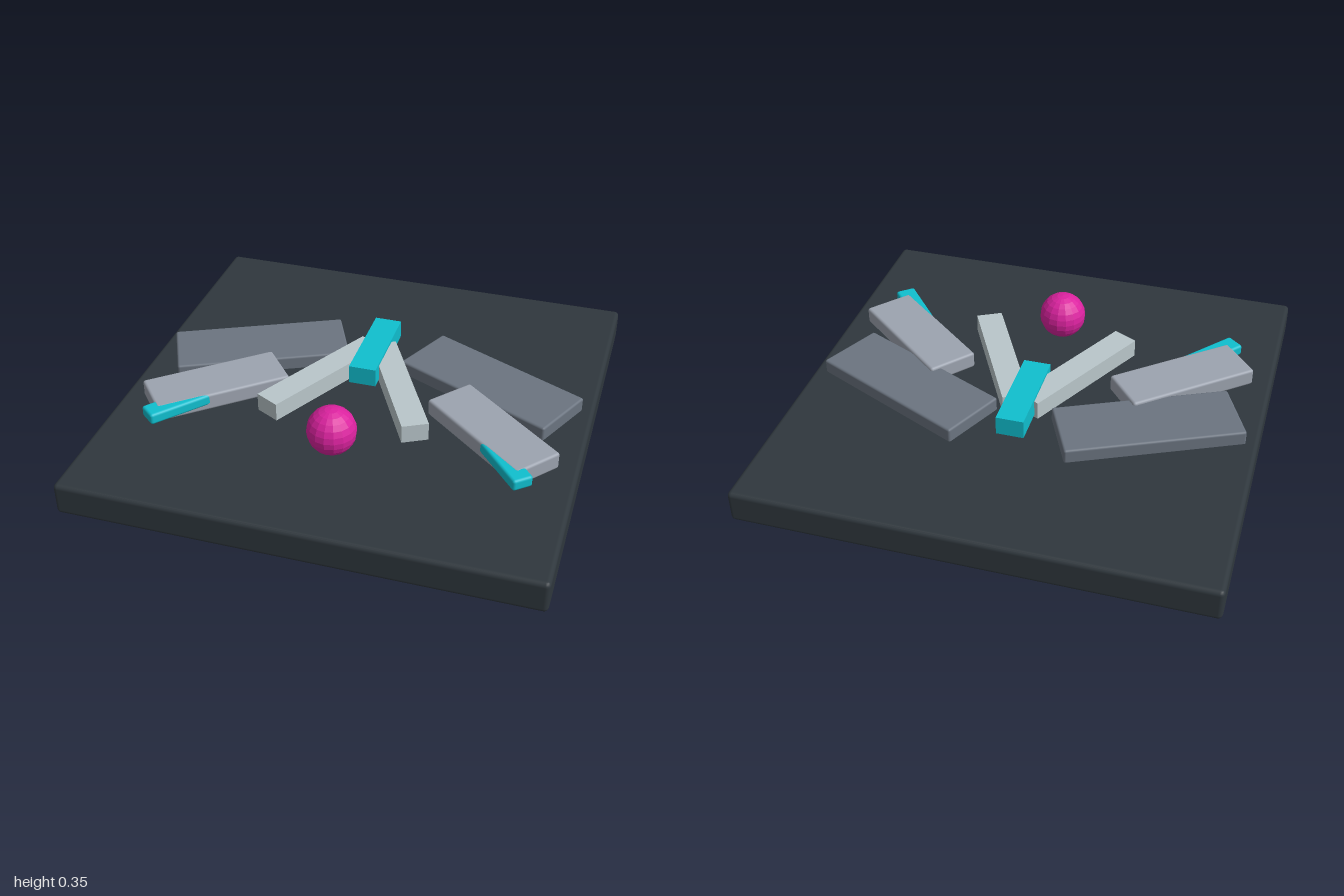
import * as THREE from 'three';
import { RoundedBoxGeometry } from 'three/addons/geometries/RoundedBoxGeometry.js';

function material(name, color, flatShading = false) {
  const m = new THREE.MeshStandardMaterial({ color });
  m.name = name;
  m.flatShading = flatShading;
  return m;
}

export function createModel() {
  const group = new THREE.Group();
  const charcoal = material('charcoal', 0x2f373d);
  const slate = material('slate', 0x6b7480);
  const grey = material('grey', 0x9ca3af);
  const pale = material('pale grey', 0xb9c6ca);
  const cyan = material('cyan', 0x10bfcf);
  const magenta = material('magenta', 0xdb229f, true);

  // Block with its long side turned by deg in plan, spanning y0 to y1
  function block(name, mat, length, width, y0, y1, x, z, deg, radius) {
    const h = y1 - y0;
    const geo = radius
      ? new RoundedBoxGeometry(length, h, width, 2, radius)
      : new THREE.BoxGeometry(length, h, width);
    const mesh = new THREE.Mesh(geo, mat);
    mesh.name = name;
    mesh.position.set(x, (y0 + y1) / 2, z);
    mesh.rotation.y = -THREE.MathUtils.degToRad(deg);
    group.add(mesh);
  }

  // Base slab
  block('base', charcoal, 2, 2, 0, 0.143, 0, 0, 0, 0.02);

  // Mirrored plates and bars
  for (const [side, s] of [['left', 1], ['right', -1]]) {
    const pair = (name, mat, l, w, y0, y1, x, z, deg, r) =>
      block(side + name, mat, l, w, y0, y1, s * x, z, s * deg, r);
    pair('RearPlate', slate, 0.775, 0.3, 0.135, 0.204, 0.535, -0.15, 25, 0.01);
    pair('FrontPlate', grey, 0.6, 0.227, 0.14, 0.217, 0.615, 0.203, 40, 0.012);
    pair('TipInsert', cyan, 0.36, 0.09, 0.165, 0.216, 0.69, 0.378, 50, 0.012);
    pair('InnerBar', pale, 0.64, 0.115, 0.18, 0.261, 0.175, 0.068, 62.4, 0);
  }

  // Central spine
  block('spine', cyan, 0.425, 0.12, 0.19, 0.273, 0, -0.183, 90, 0);

  // Faceted ball
  const ball = new THREE.Mesh(new THREE.SphereGeometry(0.105, 16, 12), magenta);
  ball.name = 'ball';
  ball.position.set(0, 0.248, 0.463);
  group.add(ball);

  return group;
}
